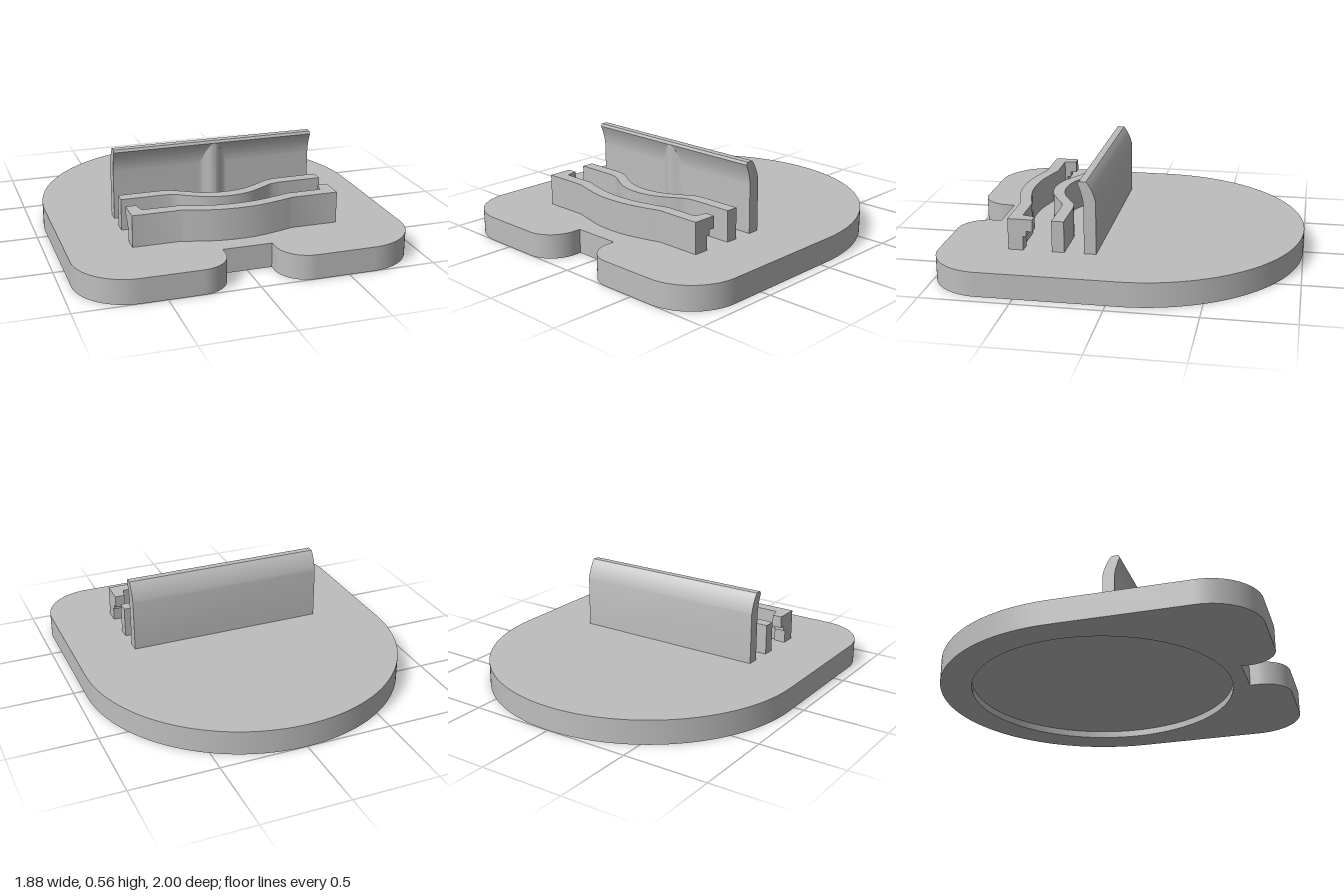
import * as THREE from 'three';
import { toCreasedNormals } from 'three/addons/utils/BufferGeometryUtils.js';

const grey = new THREE.MeshStandardMaterial({ color: 0xbebebe });
grey.name = 'light grey';

const BASE_TOP = 0.14;
const RECESS = 0.04;

function makeMesh(name, geometry) {
  const mesh = new THREE.Mesh(toCreasedNormals(geometry, 0.5), grey);
  mesh.name = name;
  return mesh;
}

// Plan outlines are drawn as (x, -z) and raised from y0 to y1.
function raise(name, shape, y0, y1) {
  const geometry = new THREE.ExtrudeGeometry(shape, {
    depth: y1 - y0, bevelEnabled: false, curveSegments: 48,
  });
  geometry.rotateX(-Math.PI / 2).translate(0, y0, 0);
  return makeMesh(name, geometry);
}

// Side profiles are drawn as (-z, y) and swept from x0 to x1.
function sweep(name, shape, x0, x1) {
  const geometry = new THREE.ExtrudeGeometry(shape, {
    depth: x1 - x0, bevelEnabled: false, curveSegments: 16,
  });
  geometry.rotateY(Math.PI / 2).translate(x0, 0, 0);
  return makeMesh(name, geometry);
}

// Arched back, rounded front corners and a notch in the front edge.
function baseShape() {
  const s = new THREE.Shape();
  s.moveTo(0.94, 0.06);
  s.absarc(0, 0.06, 0.94, 0, Math.PI, false);
  s.lineTo(-0.94, -0.7);
  s.absarc(-0.64, -0.7, 0.3, Math.PI, Math.PI * 1.5, false);
  s.lineTo(-0.31, -1);
  s.absarc(-0.31, -0.83, 0.17, Math.PI * 1.5, Math.PI * 2, false);
  s.lineTo(-0.14, -0.785);
  s.lineTo(0.14, -0.785);
  s.lineTo(0.14, -0.83);
  s.absarc(0.31, -0.83, 0.17, Math.PI, Math.PI * 1.5, false);
  s.lineTo(0.64, -1);
  s.absarc(0.64, -0.7, 0.3, Math.PI * 1.5, Math.PI * 2, false);
  s.closePath();
  return s;
}

// Strip whose middle follows a smooth curve, mirrored about x = 0.
function bowedShape(halfWidth, half, thickness) {
  const pts = [
    ...half.map(([x, z]) => new THREE.Vector2(-x, -z)),
    ...half.slice(0, -1).reverse().map(([x, z]) => new THREE.Vector2(x, -z)),
  ];
  const curve = new THREE.SplineCurve(pts).getPoints(48);
  const flat = -half[0][1];
  const back = [
    new THREE.Vector2(-halfWidth, flat), ...curve, new THREE.Vector2(halfWidth, flat),
  ];
  const front = back.map((p) => new THREE.Vector2(p.x, p.y - thickness)).reverse();
  return new THREE.Shape([...back, ...front]);
}

export function createModel() {
  const group = new THREE.Group();
  group.name = 'stand';

  // Base, with a round shallow recess underneath
  const rim = baseShape();
  const hole = new THREE.Path();
  hole.absarc(0, 0.06, 0.76, 0, Math.PI * 2, true);
  rim.holes.push(hole);
  group.add(raise('baseRim', rim, 0, RECESS));
  group.add(raise('basePlate', baseShape(), RECESS, BASE_TOP));

  // Tall rear wall with its lip curling forward
  const wall = new THREE.Shape();
  wall.moveTo(-0.118, BASE_TOP);
  wall.lineTo(-0.118, 0.44);
  wall.quadraticCurveTo(-0.13, 0.505, -0.17, 0.555);
  wall.lineTo(-0.21, 0.555);
  wall.lineTo(-0.217, 0.54);
  wall.quadraticCurveTo(-0.188, 0.475, -0.186, 0.42);
  wall.lineTo(-0.186, BASE_TOP);
  wall.closePath();
  group.add(sweep('rearWall', wall, -0.585, 0.585));

  // Smooth rib up the centre of the rear wall
  const rib = [new THREE.Vector2(0.08, -0.16), new THREE.Vector2(-0.08, -0.16)];
  for (let i = 0; i <= 24; i++) {
    const x = -0.08 + (0.16 * i) / 24;
    rib.push(new THREE.Vector2(x, -0.186 - 0.015 * (1 + Math.cos((x / 0.08) * Math.PI))));
  }
  group.add(raise('centreRib', new THREE.Shape(rib), BASE_TOP, 0.54));

  // Low bowed walls
  const middle = [[0.34, 0.297], [0.28, 0.31], [0.22, 0.345], [0.12, 0.396], [0, 0.416]];
  const front = [[0.32, 0.545], [0.24, 0.568], [0.12, 0.596], [0, 0.605]];
  group.add(raise('middleWall', bowedShape(0.587, middle, 0.07), BASE_TOP, 0.32));
  group.add(raise('frontWall', bowedShape(0.587, front, 0.07), BASE_TOP, 0.32));

  // Hooks at both ends of the front wall, stepped underneath
  const steps = [[0.475, 0.25, 0.32], [0.51, 0.22, 0.25], [0.53, BASE_TOP, 0.22]];
  for (const side of [-1, 1]) {
    const hook = new THREE.Group();
    hook.name = side > 0 ? 'leftHook' : 'rightHook';
    for (const [z, y0, y1] of steps) {
      const inner = 0.53 - ((z - 0.475) / 0.07) * 0.015;
      const shape = new THREE.Shape([
        new THREE.Vector2(side * 0.587, -z),
        new THREE.Vector2(side * inner, -z),
        new THREE.Vector2(side * 0.515, -0.546),
        new THREE.Vector2(side * 0.587, -0.546),
      ]);
      hook.add(raise('hookStep', shape, y0, y1));
    }
    group.add(hook);
  }
  return group;
}
